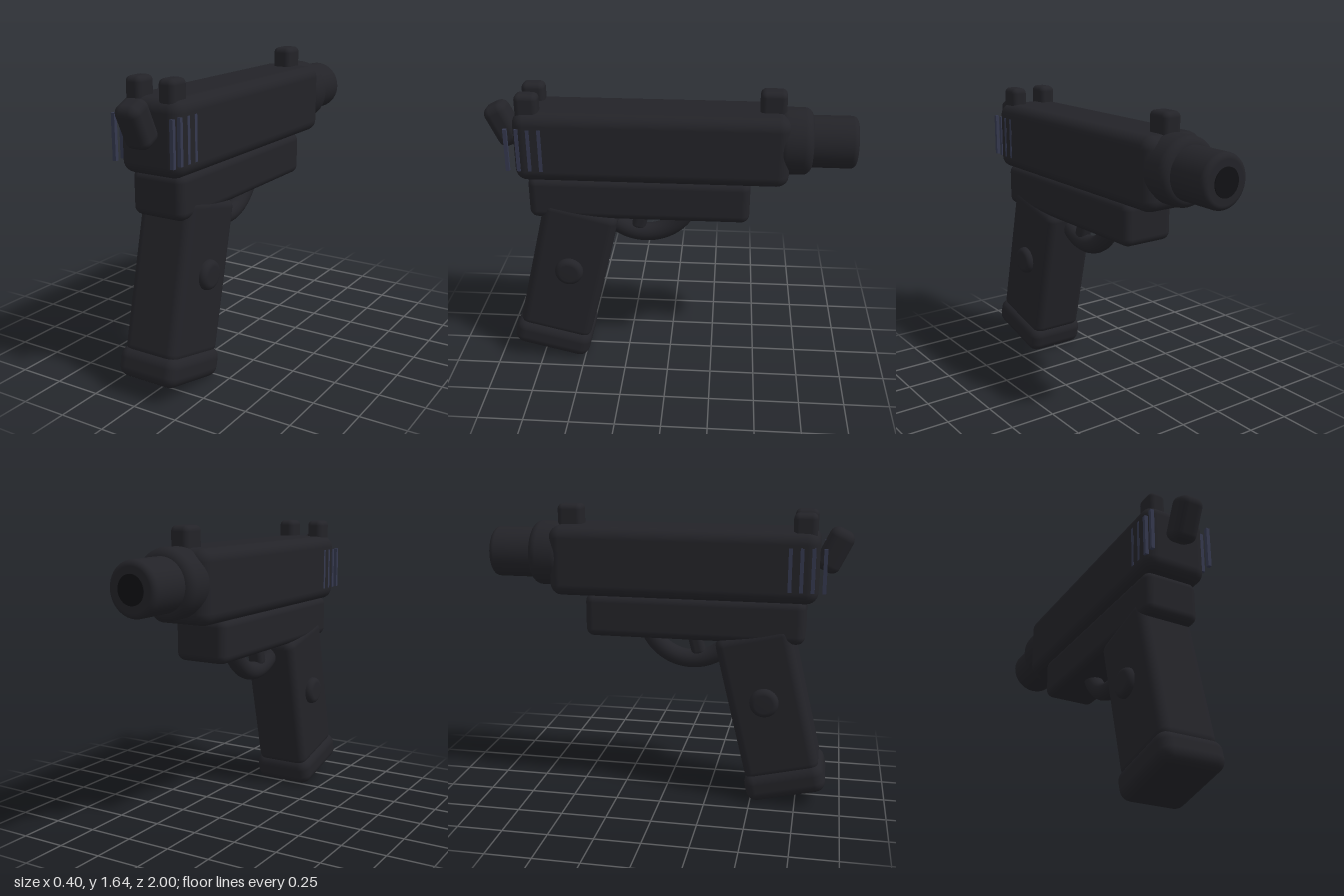
import * as THREE from 'three';
import { RoundedBoxGeometry } from 'three/addons/geometries/RoundedBoxGeometry.js';

const material = (color) => new THREE.MeshStandardMaterial({ color });

export function createModel() {
  const model = new THREE.Group();
  const body = material(0x232328);
  const accent = material(0x34384e);
  const dark = material(0x111114);

  const add = (name, geometry, mat, x, y, z, tilt = 0) => {
    const mesh = new THREE.Mesh(geometry, mat);
    mesh.name = name;
    mesh.position.set(x, y, z);
    mesh.rotation.x = tilt;
    model.add(mesh);
    return mesh;
  };
  const box = (name, [w, h, d], radius, [x, y, z], tilt) =>
    add(name, new RoundedBoxGeometry(w, h, d, 3, radius), body, x, y, z, tilt);

  // Cylinder along y with rounded rims
  const roundedCylinder = (radius, length, bevel) => {
    const points = [new THREE.Vector2(0, -length / 2)];
    for (const side of [-1, 1]) {
      for (let i = 0; i <= 5; i++) {
        const a = (side < 0 ? i - 5 : i) * Math.PI / 10;
        points.push(new THREE.Vector2(
          radius - bevel + Math.cos(a) * bevel,
          side * (length / 2 - bevel) + Math.sin(a) * bevel));
      }
    }
    points.push(new THREE.Vector2(0, length / 2));
    return new THREE.LatheGeometry(points, 40);
  };

  // Upper and lower body
  box('slide', [0.36, 0.385, 1.47], 0.065, [0, 1.338, 0.095]);
  box('frame', [0.31, 0.24, 1.21], 0.045, [0, 1.04, 0.165]);

  // Barrel, pointing to -z
  const along = -Math.PI / 2;
  add('collar', roundedCylinder(0.18, 0.19, 0.05), body, 0, 1.36, -0.665, along);
  add('barrel', roundedCylinder(0.14, 0.4, 0.03), body, 0, 1.36, -0.795, along);
  add('bore', new THREE.CylinderGeometry(0.075, 0.075, 0.03, 32), dark, 0, 1.36, -0.985, along);

  // Raked grip with its base and side discs
  const rake = -0.237;
  box('grip', [0.32, 0.84, 0.42], 0.05, [0, 0.57, 0.58], rake);
  box('gripBase', [0.36, 0.165, 0.45], 0.06, [0, 0.12, 0.69], rake);
  add('gripDiscs', roundedCylinder(0.08, 0.395, 0.03), body, 0, 0.595, 0.565).rotation.z = Math.PI / 2;

  // Trigger and the lower arc of its guard
  const guard = new THREE.TorusGeometry(0.265, 0.052, 16, 40, Math.PI);
  guard.rotateZ(Math.PI).rotateY(Math.PI / 2);
  add('triggerGuard', guard, body, 0, 1.046, 0.14);
  box('trigger', [0.08, 0.22, 0.08], 0.03, [0, 0.91, 0.158], -0.25);

  // Hammer and sights
  box('hammer', [0.14, 0.24, 0.135], 0.045, [0, 1.42, 0.905], 0.45);
  box('frontSight', [0.11, 0.18, 0.14], 0.03, [0, 1.55, -0.545]);
  for (const side of [-1, 1]) {
    box('rearSight', [0.095, 0.17, 0.125], 0.03, [side * 0.097, 1.54, 0.75]);

    // Grip ribs along the rear of the slide
    for (let i = 0; i < 4; i++) {
      add('slideRib', new THREE.BoxGeometry(0.02, 0.235, 0.02), accent,
        side * 0.171, 1.333, 0.86 - i * 0.06);
    }
  }
  return model;
}
